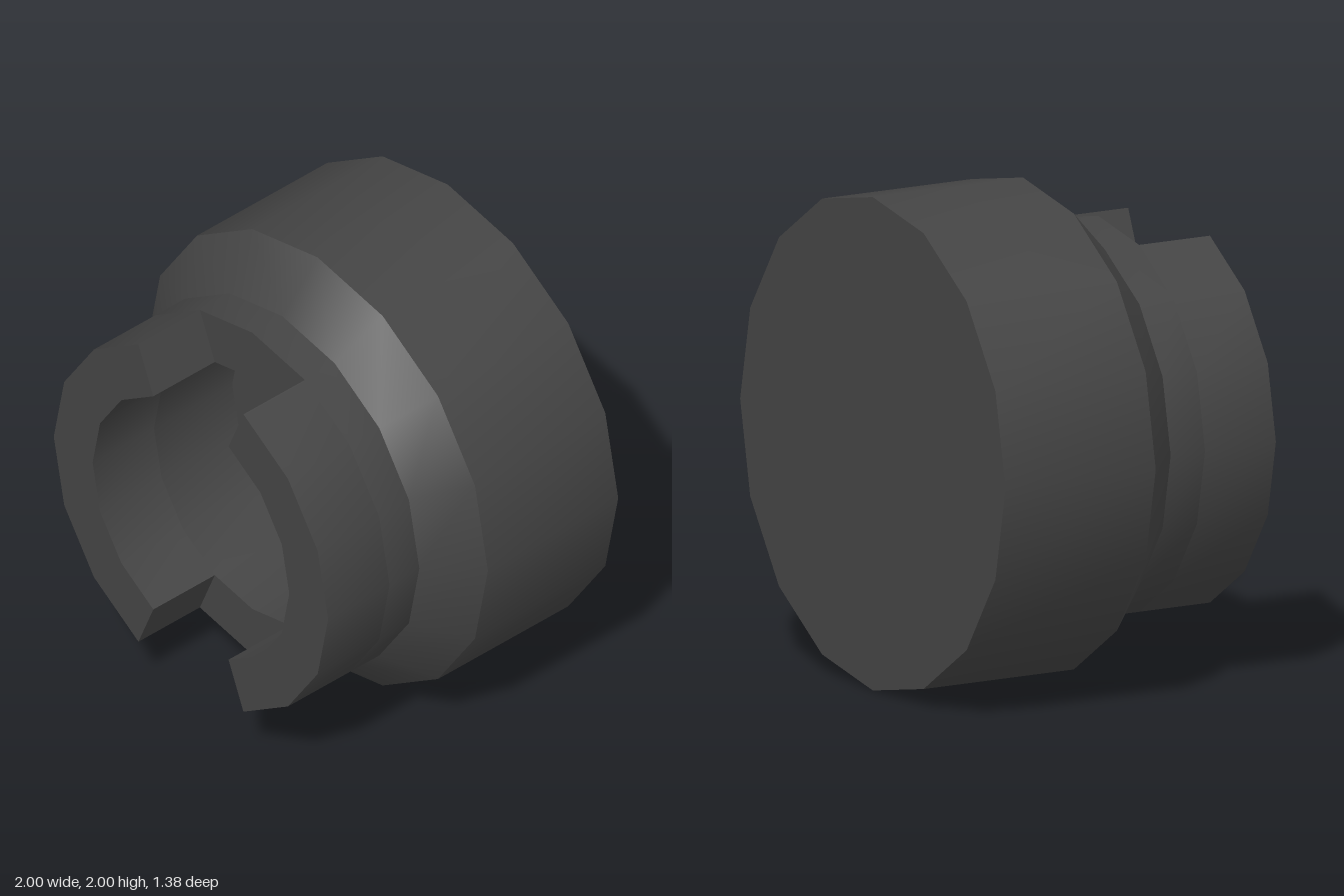
import * as THREE from 'three';
import { toCreasedNormals } from 'three/addons/utils/BufferGeometryUtils.js';

const SIDES = 16;
const STEP = (Math.PI * 2) / SIDES;
const BACK = -0.69, FRONT = 0.69, NOTCH_FLOOR = 0.36, BORE_FLOOR = -0.06;
const R_BODY = 1, R_NECK = 0.805, R_BORE = 0.577;

const material = new THREE.MeshStandardMaterial({ color: 0x444444 });

// Revolve [radius, z] points around the z axis, keeping profile corners sharp
function revolve(profile, start = 0, sides = SIDES) {
  const points = profile.map(([r, z]) => new THREE.Vector2(r, z));
  const geometry = new THREE.LatheGeometry(points, sides, start, sides * STEP);
  return toCreasedNormals(geometry.rotateX(Math.PI / 2), Math.PI / 6);
}

// Flat radial wall closing one end of a jaw
function notchWall(angle, flip) {
  const wall = new THREE.PlaneGeometry(R_NECK - R_BORE, FRONT - NOTCH_FLOOR);
  if (flip) wall.rotateY(Math.PI);
  wall.translate((R_NECK + R_BORE) / 2, (FRONT + NOTCH_FLOOR) / 2, 0);
  return wall.rotateY(angle - Math.PI / 2).rotateX(Math.PI / 2);
}

export function createModel() {
  const model = new THREE.Group();
  model.name = 'slottedCoupling';

  const add = (name, geometry, parent) => {
    const mesh = new THREE.Mesh(geometry, material);
    mesh.name = name;
    parent.add(mesh);
  };

  // Body: solid drum, chamfered shoulder, neck and blind bore
  add('body', revolve([
    [0, BACK], [R_BODY, BACK], [R_BODY, 0.01], [R_NECK, 0.2],
    [R_NECK, NOTCH_FLOOR], [R_BORE, NOTCH_FLOOR], [R_BORE, BORE_FLOOR], [0, BORE_FLOOR],
  ]), model);

  // Two jaws, with a notch two facets wide between them at top and bottom
  for (const [name, start] of [['leftJaw', STEP], ['rightJaw', Math.PI + STEP]]) {
    const jaw = new THREE.Group();
    jaw.name = name;
    add('jawRing', revolve([
      [R_NECK, NOTCH_FLOOR], [R_NECK, FRONT], [R_BORE, FRONT], [R_BORE, NOTCH_FLOOR],
    ], start, 6), jaw);
    add('lowerNotchWall', notchWall(start, false), jaw);
    add('upperNotchWall', notchWall(start + 6 * STEP, true), jaw);
    model.add(jaw);
  }

  model.position.y = R_BODY;
  return model;
}
